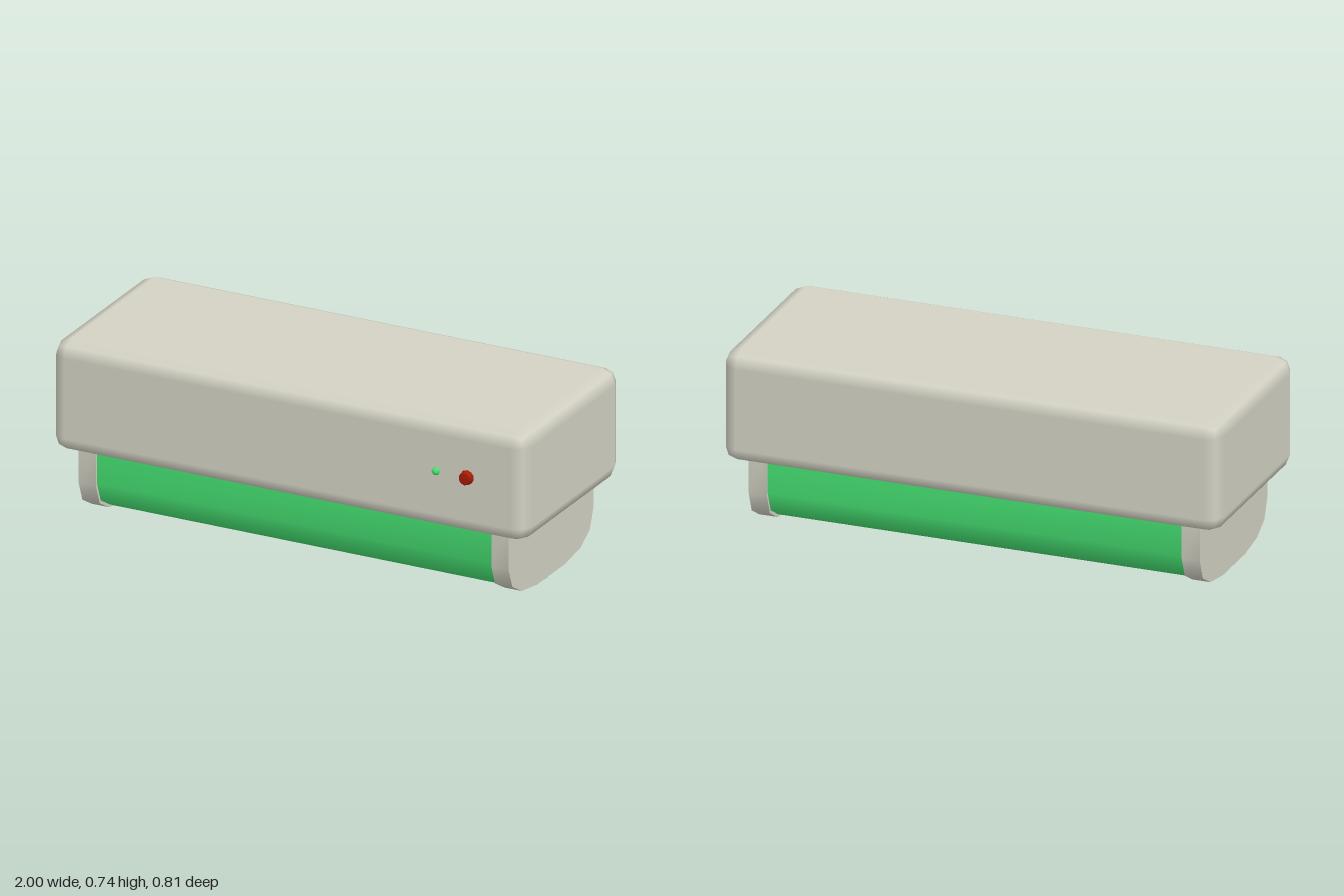
import * as THREE from 'three';
import { toCreasedNormals } from 'three/addons/utils/BufferGeometryUtils.js';
import { RoundedBoxGeometry } from 'three/addons/geometries/RoundedBoxGeometry.js';

const MID_Z = -0.01;

// Half of the U-shaped section below the housing, as [z, y] from top to bottom
const SECTION = [[0.34, 0.34], [0.34, 0.167], [0.31, 0.087], [0.235, 0.043], [0.113, 0.023]];

// Extrudes the section along x, shrunk by an inset
function sectionGeometry(length, inset) {
  const half = SECTION.map(([z, y]) => [z - inset, y + inset]);
  const outline = [...half, ...half.slice().reverse().map(([z, y]) => [-z, y])];
  const shape = new THREE.Shape(outline.map(([z, y]) => new THREE.Vector2(z, y)));
  const geometry = new THREE.ExtrudeGeometry(shape, { depth: length, bevelEnabled: false });
  geometry.translate(0, 0, -length / 2).rotateY(-Math.PI / 2);
  return toCreasedNormals(geometry, 0.8);
}

// Turned part from [radius, height] points
function turned(points, sides) {
  return new THREE.LatheGeometry(points.map(([r, y]) => new THREE.Vector2(r, y)), sides);
}

export function createModel() {
  const group = new THREE.Group();
  const material = (name, color) => {
    const m = new THREE.MeshStandardMaterial({ color });
    m.name = name;
    return m;
  };
  const casing = material('warm grey casing', 0xd3d2c4);
  const green = material('green', 0x47e574);
  const red = material('red', 0xa51c04);

  const add = (name, geometry, mat, x, y, z) => {
    const mesh = new THREE.Mesh(geometry, mat);
    mesh.name = name;
    mesh.position.set(x, y, z);
    group.add(mesh);
    return mesh;
  };

  // Main rounded housing
  add('housing', new RoundedBoxGeometry(2, 0.447, 0.786, 1, 0.062), casing, 0, 0.5185, MID_Z);

  // Green lamp cover between the end caps
  add('lampCover', sectionGeometry(1.68, 0.008), green, 0, 0, MID_Z);

  // End caps with a small domed screw under each
  const capGeometry = sectionGeometry(0.073, 0);
  const screwGeometry = turned([[0, 0], [0.012, 0.001], [0.02, 0.006], [0.023, 0.013], [0, 0.013]], 8);
  for (const side of [1, -1]) {
    const label = side > 0 ? 'left' : 'right';
    add(label + 'EndCap', capGeometry, casing, side * 0.868, 0, MID_Z);
    add(label + 'Screw', screwGeometry, casing, side * 0.868, 0, MID_Z);
  }

  // Small tabs showing through the underside of the cover
  for (const [width, depth, x, z] of [
    [0.06, 0.03, 0.17, -0.075],
    [0.025, 0.015, 0.19, -0.105],
    [0.05, 0.02, -0.28, -0.085],
  ]) {
    add('undersideTab', new THREE.BoxGeometry(width, 0.006, depth), casing, x, 0.0332, z);
  }

  // Test button and indicator light on the front
  const button = turned([[0.0285, -0.01], [0.0285, 0.003], [0.025, 0.022], [0.021, 0.024], [0, 0.024]], 10);
  const light = new THREE.SphereGeometry(0.017, 6, 3, 0, Math.PI * 2, 0, Math.PI / 2);
  for (const [name, geometry, mat, x] of [
    ['testButton', button, red, 0.758],
    ['indicatorLight', light, green, 0.627],
  ]) {
    add(name, geometry, mat, x, 0.533, 0.383).rotation.x = Math.PI / 2;
  }

  return group;
}
